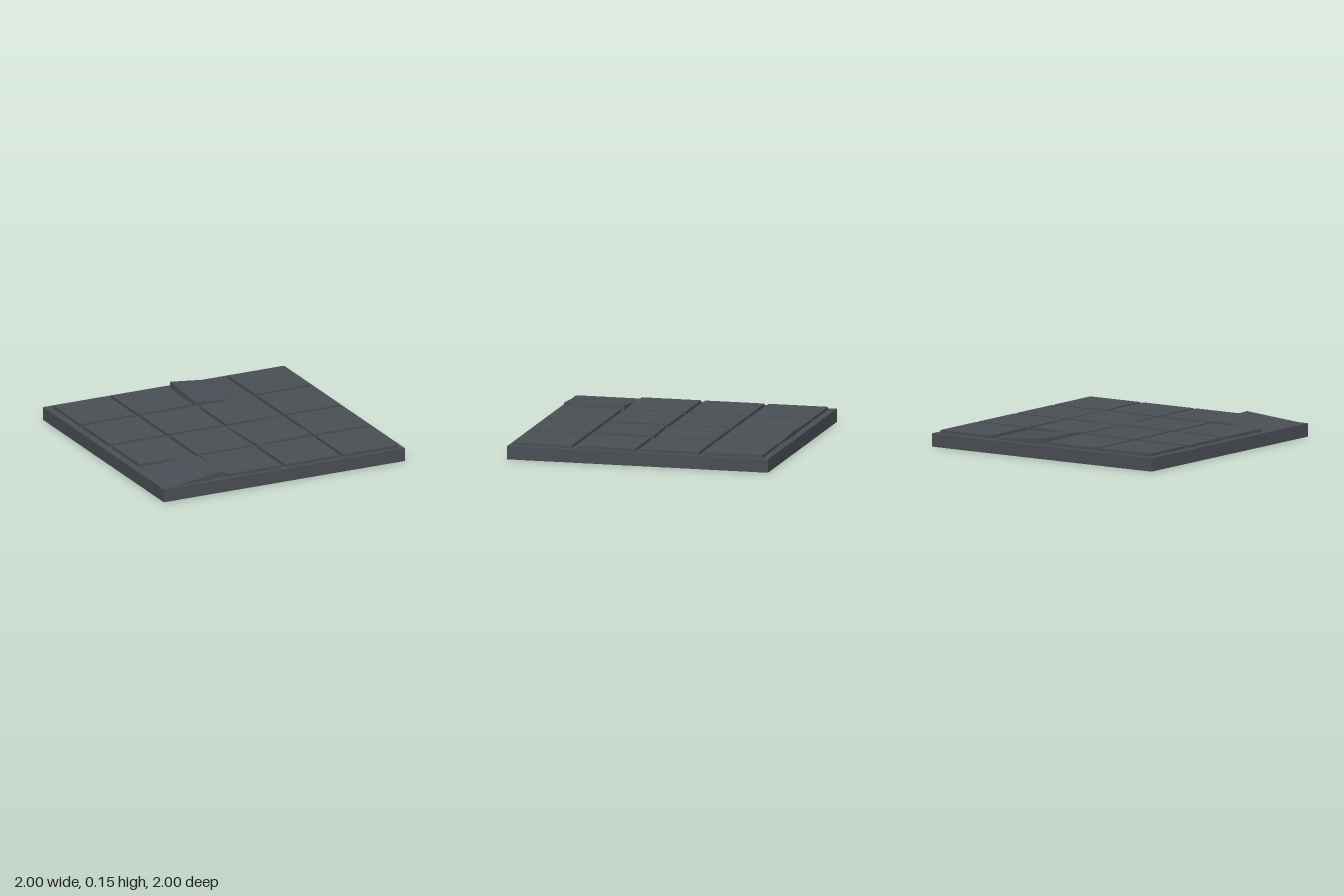
import * as THREE from 'three';

export function createModel() {
  const group = new THREE.Group();
  group.name = 'tiledFloorSlab';
  const stone = new THREE.MeshStandardMaterial({ color: 0x4a4f55 });
  stone.name = 'slate grey';

  // Base slab
  const base = new THREE.Mesh(new THREE.BoxGeometry(2, 0.1, 2), stone);
  base.name = 'baseSlab';
  base.position.y = 0.05;
  group.add(base);

  // Loose tiles, keyed by column and row: yaw, rise towards +x, rise towards +z
  const loose = {
    '0,3': [0.067, 0.102, 0.011],
    '2,0': [-0.055, -0.085, -0.018],
    '2,2': [0.045, 0.02, 0.002],
  };

  // Four by four tiles, partly sunk into the slab
  const thickness = 0.05;
  const tileGeometry = new THREE.BoxGeometry(0.454, thickness, 0.454);
  tileGeometry.translate(0, -thickness / 2, 0);
  for (let col = 0; col < 4; col++) {
    for (let row = 0; row < 4; row++) {
      const [yaw, riseX, riseZ] = loose[`${col},${row}`] || [0, 0, 0];
      const tile = new THREE.Mesh(tileGeometry, stone);
      tile.name = yaw ? 'looseTile' : 'tile';
      tile.position.set(-0.717 + col * 0.483, 0.122, -0.72 + row * 0.487);
      tile.rotation.set(-riseZ, yaw, riseX, 'XZY');
      group.add(tile);
    }
  }
  return group;
}
